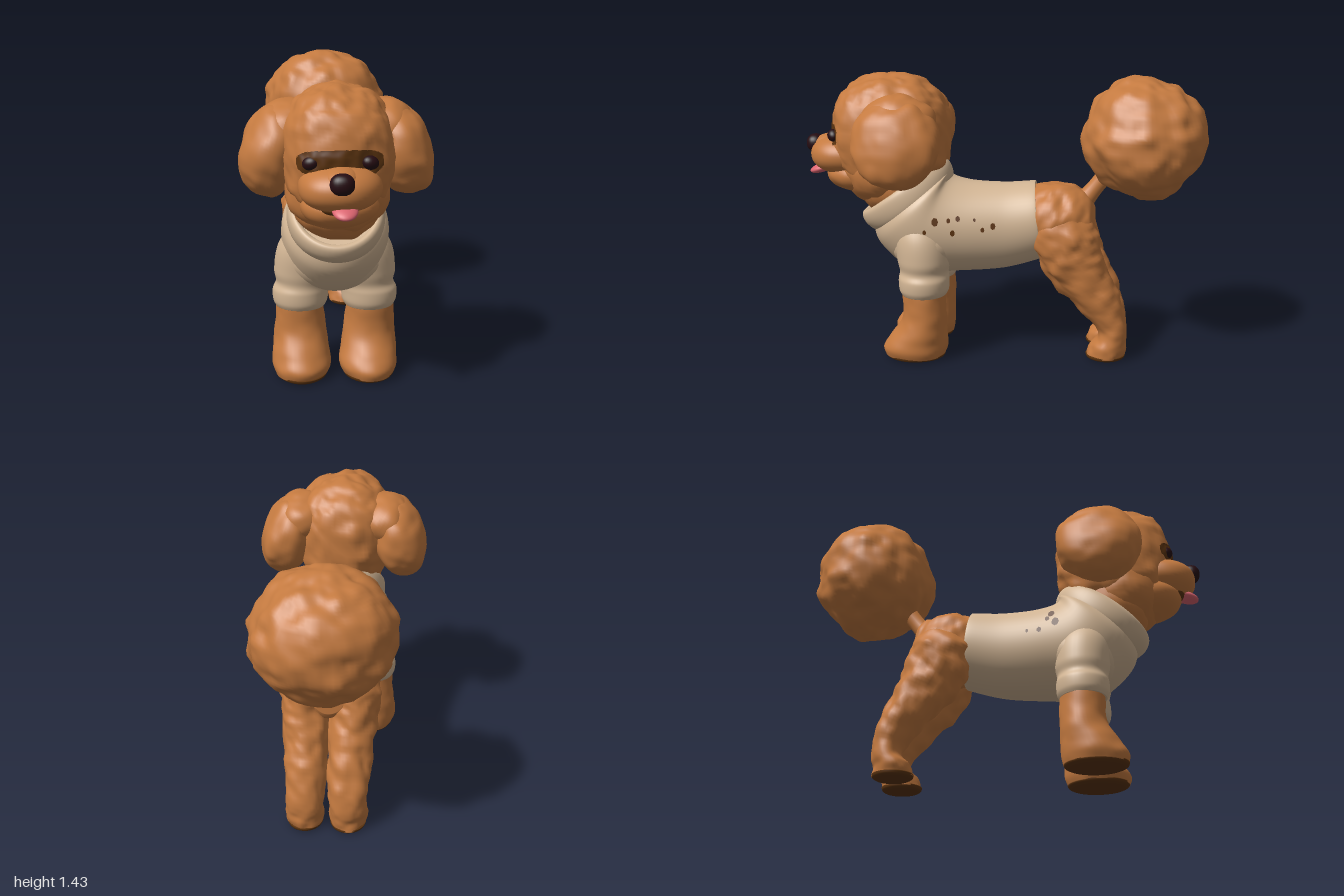
import * as THREE from 'three';
import { mergeVertices } from 'three/addons/utils/BufferGeometryUtils.js';

const material = (name, color) => Object.assign(new THREE.MeshStandardMaterial({ color }), { name });

// Seeded value noise, -1..1, used for the curls
const hash = (x, y, z) => {
  const s = Math.sin(x * 127.1 + y * 311.7 + z * 74.7) * 43758.5453;
  return (s - Math.floor(s)) * 2 - 1;
};
function noise(x, y, z) {
  const i = Math.floor(x), j = Math.floor(y), k = Math.floor(z);
  const f = t => t * t * (3 - 2 * t);
  const u = f(x - i), v = f(y - j), w = f(z - k);
  const mix = THREE.MathUtils.lerp;
  const edge = (b, c) => mix(hash(i, j + b, k + c), hash(i + 1, j + b, k + c), u);
  return mix(mix(edge(0, 0), edge(1, 0), v), mix(edge(0, 1), edge(1, 1), v), w);
}
const curl = (p, freq) =>
  noise(p.x * freq + 9, p.y * freq, p.z * freq) + 0.4 * noise(p.x * freq * 2, p.y * freq * 2 + 5, p.z * freq * 2);

// Ellipsoid with curly bumps; box < 1 squares it off, keep(x, y) trims it to a patch of range
function blob(center, radii, { amp = 0, freq = 10, box = 1, rot = [0, 0, 0], range = [], seg = 48, grow = 1, keep } = {}) {
  let geo = new THREE.SphereGeometry(1, seg, Math.round(seg * 0.7), ...range);
  geo.deleteAttribute('uv');
  geo.deleteAttribute('normal');
  geo = mergeVertices(geo, 1e-5);
  const pos = geo.attributes.position, p = new THREE.Vector3();
  const euler = new THREE.Euler(...rot);
  const soft = t => Math.sign(t) * Math.abs(t) ** box;
  for (let i = 0; i < pos.count; i++) {
    p.fromBufferAttribute(pos, i);
    p.set(soft(p.x) * radii[0], soft(p.y) * radii[1], soft(p.z) * radii[2]);
    p.multiplyScalar(grow * (1 + amp * curl(p, freq))).applyEuler(euler);
    pos.setXYZ(i, p.x + center[0], p.y + center[1], p.z + center[2]);
  }
  if (keep) {
    const all = Array.from(geo.index.array);
    geo.setIndex(all.filter((_, i) => {
      const a = i - (i % 3);
      return [0, 1, 2].every(k => keep(pos.getX(all[a + k]), pos.getY(all[a + k])));
    }));
  }
  geo.computeVertexNormals();
  return geo;
}

// Smooth tube through elliptical sections [x, y, z, radiusX, radiusV, tilt]
function loft(rows, { amp = 0, freq = 12, around = 40, steps = 8 } = {}) {
  const spline = (a, b, c, d, t) =>
    0.5 * (2 * b + (c - a) * t + (2 * a - 5 * b + 4 * c - d) * t * t + (3 * b - a - 3 * c + d) * t ** 3);
  const at = i => rows[THREE.MathUtils.clamp(i, 0, rows.length - 1)];
  const rings = [];
  for (let i = 0; i < rows.length - 1; i++) {
    for (let s = 0; s < steps; s++) {
      rings.push(rows[0].map((_, k) => spline(at(i - 1)[k], at(i)[k], at(i + 1)[k], at(i + 2)[k], s / steps)));
    }
  }
  rings.push(at(rows.length));
  const close = r => [r[0], r[1], r[2], 0, 0, r[5]];
  rings.unshift(close(rings[0]));
  rings.push(close(rings[rings.length - 1]));
  const points = [], index = [], p = new THREE.Vector3();
  rings.forEach(([x, y, z, rx, rv, tilt], i) => {
    for (let j = 0; j < around; j++) {
      const a = (j / around) * Math.PI * 2, c = Math.cos(a), s = Math.sin(a);
      p.set(x + rx * c, y + rv * s * Math.cos(tilt), z + rv * s * Math.sin(tilt));
      const k = 1 + amp * curl(p, freq);
      points.push(x + rx * c * k, y + rv * s * k * Math.cos(tilt), z + rv * s * k * Math.sin(tilt));
      if (i === rings.length - 1) continue;
      const n = (j + 1) % around, o = i * around;
      index.push(o + j, o + n, o + around + j, o + n, o + around + n, o + around + j);
    }
  });
  const geo = new THREE.BufferGeometry();
  geo.setAttribute('position', new THREE.Float32BufferAttribute(points, 3));
  geo.setIndex(index);
  geo.computeVertexNormals();
  return geo;
}

export function createModel() {
  const model = new THREE.Group();
  model.name = 'curlyDog';
  const fur = material('apricotFur', 0xc47a40);
  const knit = material('creamKnit', 0xd2b594);
  const brown = material('darkBrown', 0x5c3410);
  const black = material('noseBlack', 0x260d12);
  const pink = material('tonguePink', 0xdc6570);
  brown.side = THREE.DoubleSide;
  const add = (name, geo, mat) => {
    const mesh = new THREE.Mesh(geo, mat);
    mesh.name = name;
    model.add(mesh);
    return mesh;
  };
  const D = Math.PI / 2;

  // Head, with the eye mask cut from the same surface
  const skullAt = [0, 1.125, 0.565], skullR = [0.25, 0.29, 0.29];
  const skullFur = { amp: 0.05, freq: 15, box: 0.8, seg: 80 };
  add('skull', blob(skullAt, skullR, skullFur), fur);
  add('eyeMask', blob(skullAt, skullR, { ...skullFur, grow: 1.012, range: [0.8, 1.54, D - 0.2, 0.4],
    keep: (x, y) => Math.abs(x / 0.186) ** 3 + Math.abs((y - 1.13) / 0.06) ** 3 < 1 }), brown);
  add('cheeks', blob([0, 0.96, 0.61], [0.232, 0.19, 0.21], { amp: 0.05, freq: 13 }), fur);
  add('throat', blob([0, 0.89, 0.54], [0.2, 0.18, 0.21], { amp: 0.04, freq: 14 }), fur);
  add('muzzle', blob([0, 1.02, 0.795], [0.18, 0.103, 0.178], { amp: 0.015, freq: 9, box: 0.92 }), fur);
  add('noseBridge', blob([0, 1.07, 0.85], [0.085, 0.052, 0.115], { seg: 32 }), fur);
  add('lowerJaw', blob([0, 0.925, 0.73], [0.172, 0.098, 0.168], { amp: 0.03, freq: 12 }), fur);
  add('mouth', blob([-0.02, 0.943, 0.868], [0.065, 0.03, 0.045], { seg: 24 }), brown);
  add('tongue', blob([0.014, 0.947, 0.918], [0.055, 0.024, 0.07], { rot: [0.32, 0, 0], seg: 28 }), pink);
  add('nose', blob([0, 1.068, 0.955], [0.052, 0.046, 0.044], { box: 0.9, seg: 28 }), black);

  for (const side of [1, -1]) {
    const label = side > 0 ? 'left' : 'right';
    const S = rows => rows.map(([x, ...rest]) => [x * side, ...rest]);
    add(label + 'Eye', blob([side * 0.125, 1.13, 0.831], [0.038, 0.03, 0.03],
      { rot: [0, side * 0.4, side * -0.3], seg: 24 }), black);

    // Drooping ear and the tuft that joins it to the head
    add(label + 'Ear', blob([side * 0.29, 1.115, 0.495], [0.14, 0.215, 0.212],
      { amp: 0.06, freq: 11, box: 0.94, rot: [0, 0, side * 0.3], seg: 60 }), fur);
    add(label + 'EarTuft', blob([side * 0.22, 1.21, 0.49], [0.145, 0.135, 0.185],
      { amp: 0.06, freq: 12, rot: [0, 0, side * -0.5] }), fur);

    // Front leg with sleeve and sole
    add(label + 'Sleeve', loft(S([
      [0.09, 0.77, 0.42, 0.1, 0.09, D], [0.112, 0.64, 0.4, 0.155, 0.14, D], [0.137, 0.52, 0.39, 0.15, 0.136, D],
      [0.15, 0.46, 0.39, 0.129, 0.122, D], [0.162, 0.42, 0.39, 0.133, 0.127, D], [0.164, 0.37, 0.39, 0.13, 0.125, D],
      [0.164, 0.342, 0.39, 0.118, 0.113, D]])), knit);
    add(label + 'FrontLeg', loft(S([
      [0.168, 0.45, 0.39, 0.1, 0.1, D], [0.168, 0.35, 0.39, 0.109, 0.107, D], [0.165, 0.22, 0.39, 0.122, 0.113, D],
      [0.162, 0.12, 0.418, 0.135, 0.142, D], [0.16, 0.06, 0.438, 0.138, 0.16, D], [0.16, 0.016, 0.44, 0.122, 0.15, D]]),
      { amp: 0.05, freq: 11 }), fur);
    add(label + 'FrontSole', loft(S([
      [0.16, 0.024, 0.44, 0.125, 0.153, D], [0.16, 0.01, 0.44, 0.12, 0.148, D], [0.16, 0, 0.44, 0.1, 0.13, D]]),
      { steps: 3 }), brown);

    // Hind leg
    add(label + 'HindLeg', loft(S([
      [0.1, 0.76, -0.3, 0.09, 0.1, 1.7], [0.112, 0.67, -0.3, 0.125, 0.152, 1.7], [0.112, 0.55, -0.33, 0.124, 0.155, 1.9],
      [0.107, 0.42, -0.4, 0.114, 0.13, 2], [0.103, 0.28, -0.505, 0.102, 0.1, 2.05], [0.102, 0.14, -0.56, 0.092, 0.07, 1.7],
      [0.105, 0.07, -0.535, 0.092, 0.09, D], [0.105, 0.014, -0.525, 0.086, 0.096, D]]),
      { amp: 0.11, freq: 17, steps: 9, around: 44 }), fur);
    add(label + 'HindSole', loft(S([
      [0.105, 0.022, -0.525, 0.089, 0.1, D], [0.105, 0.008, -0.525, 0.085, 0.096, D],
      [0.105, 0, -0.525, 0.072, 0.083, D]]), { steps: 3 }), brown);
  }

  // Sweater body with a full chest
  add('sweater', loft([
    [0, 0.695, -0.178, 0.186, 0.193, 0.12], [0, 0.69, -0.16, 0.192, 0.2, 0.1], [0, 0.66, 0, 0.2, 0.22, 0],
    [0, 0.655, 0.2, 0.228, 0.235, -0.1], [0, 0.67, 0.36, 0.25, 0.265, -0.35],
    [0, 0.755, 0.45, 0.245, 0.265, -0.75], [0, 0.81, 0.48, 0.2, 0.23, -0.94]], { around: 56 }), knit);
  add('chest', blob([0, 0.585, 0.385], [0.268, 0.168, 0.2]), knit);

  // Rolled collar, tilted forward
  const collar = [[-0.075, 0.208, 0.232], [-0.045, 0.224, 0.252], [0, 0.226, 0.265], [0.04, 0.218, 0.258],
    [0.056, 0.198, 0.24], [0.04, 0.18, 0.215], [-0.01, 0.17, 0.2]];
  add('collar', loft(collar.map(([s, rx, rv]) => [0, 0.82 + s * 0.81, 0.49 + s * 0.59, rx, rv, -0.94]),
    { around: 56, steps: 5 }), knit);

  // Rump and pompom tail
  add('rump', loft([
    [0, 0.67, -0.46, 0.08, 0.09, 0], [0, 0.68, -0.43, 0.15, 0.145, 0], [0, 0.69, -0.37, 0.198, 0.172, 0],
    [0, 0.695, -0.28, 0.215, 0.19, 0], [0, 0.695, -0.2, 0.192, 0.188, 0.05], [0, 0.695, -0.14, 0.16, 0.165, 0.1]],
    { amp: 0.07, freq: 17, around: 60 }), fur);
  add('tailStem', loft([
    [0, 0.77, -0.38, 0.06, 0.055, -2.2], [0, 0.86, -0.452, 0.042, 0.042, -2.2],
    [0, 0.95, -0.52, 0.046, 0.046, -2.2], [0, 1.02, -0.57, 0.07, 0.07, -2.2]], { around: 20 }), fur);
  add('tailPompom', blob([0, 1.118, -0.688], [0.327, 0.297, 0.3], { amp: 0.065, freq: 11, seg: 84 }), fur);

  // Small flat spots laid on the knit: [side, z, y, radius]
  const spots = [
    [1, 0.37, 0.68, 0.011], [1, 0.32, 0.73, 0.019], [1, 0.255, 0.735, 0.011], [1, 0.21, 0.742, 0.013],
    [1, 0.235, 0.675, 0.014], [1, 0.13, 0.735, 0.008], [1, 0.09, 0.688, 0.011], [1, 0.04, 0.705, 0.015],
    [-1, 0.25, 0.78, 0.02], [-1, 0.23, 0.75, 0.014], [-1, 0.27, 0.725, 0.022], [-1, 0.19, 0.69, 0.014],
    [-1, 0.13, 0.69, 0.009]];
  const knitParts = model.children.filter(m => m.material === knit);
  const ray = new THREE.Raycaster();
  spots.forEach(([side, z, y, r], i) => {
    ray.set(new THREE.Vector3(side, y, z), new THREE.Vector3(-side, 0, 0));
    const hit = ray.intersectObjects(knitParts)[0];
    if (!hit) return;
    const spot = add('spot' + (i + 1), new THREE.CircleGeometry(r, 7), brown);
    spot.position.copy(hit.point).addScaledVector(hit.face.normal, 0.004);
    spot.lookAt(spot.position.clone().add(hit.face.normal));
    spot.scale.set(0.85, 1.15, 1);
  });
  return model;
}
